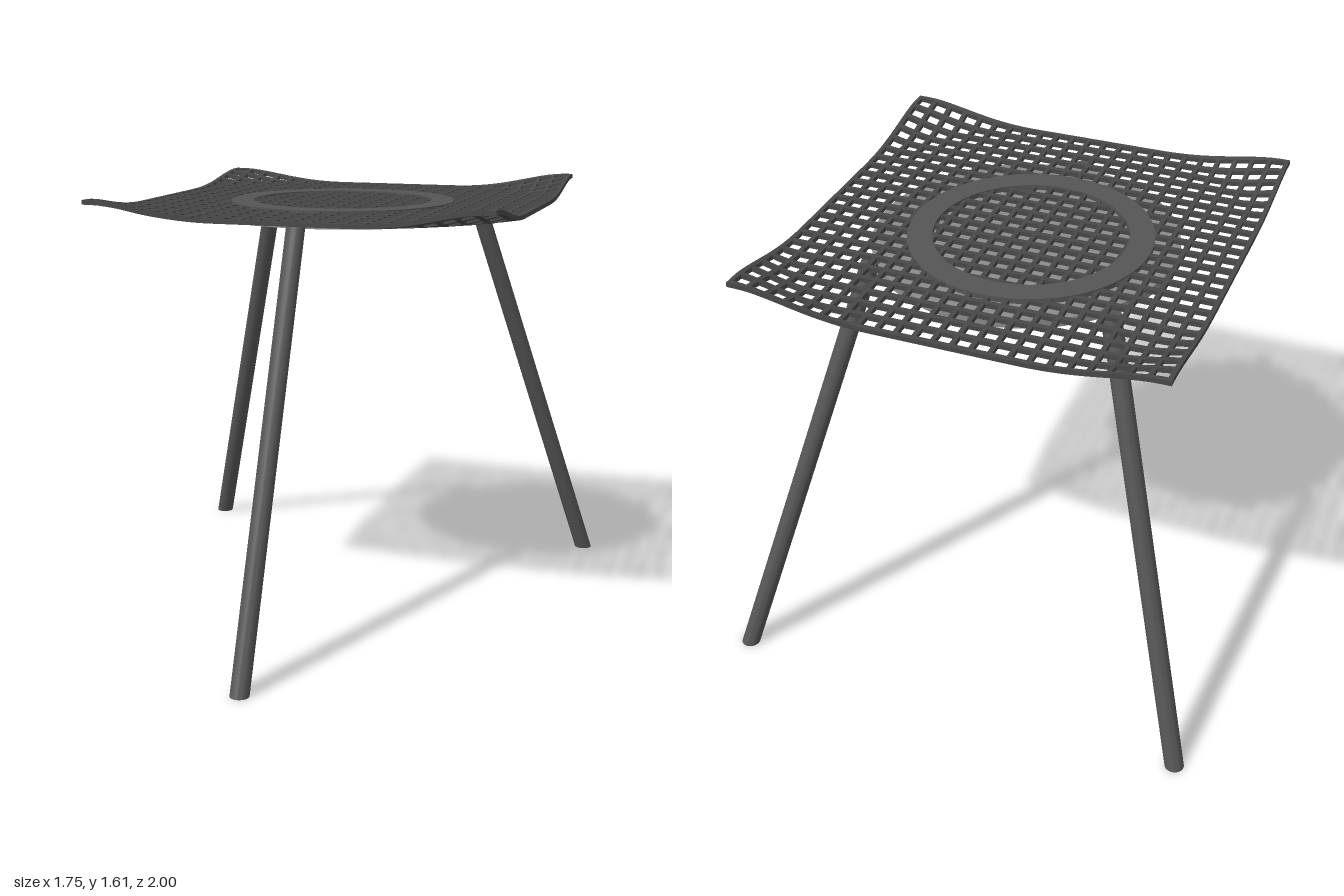
import * as THREE from 'three';
import { mergeGeometries, toCreasedNormals } from 'three/addons/utils/BufferGeometryUtils.js';

const charcoal = new THREE.MeshStandardMaterial({ color: 0x555555 });
const darkNet = new THREE.MeshStandardMaterial({ color: 0x484848 });
const midGrey = new THREE.MeshStandardMaterial({ color: 0x8a8a8a });

const CZ = -0.19;      // centre of the table top in z
const TOP = 1.53;      // height of the leg tops and the disc's upper face
const HALF = 0.742;    // half width of the net

// Leg with level ends: an upright cylinder sheared from foot to top
function makeLeg(name, [footX, footZ], [topX, topZ]) {
  const geo = new THREE.CylinderGeometry(0.034, 0.034, TOP, 24);
  geo.translate(0, TOP / 2, 0);
  const p = geo.attributes.position;
  for (let i = 0; i < p.count; i++) {
    const t = p.getY(i) / TOP;
    p.setX(i, p.getX(i) + footX + (topX - footX) * t);
    p.setZ(i, p.getZ(i) + footZ + (topZ - footZ) * t);
  }
  const mesh = new THREE.Mesh(toCreasedNormals(geo, 0.6), charcoal);
  mesh.name = name;
  return mesh;
}

// The net lies flat in the middle and curls up at its corners
function lift(x, z) {
  const strength = 0.055 + 0.006 * Math.sign(x);
  return strength * THREE.MathUtils.smoothstep(Math.hypot(x, z), 0.78, 1.03);
}

function makeNet() {
  const bars = [];
  const addBars = (cells, width, alongX) => {
    for (let i = 0; i <= cells; i++) {
      const at = (HALF - width / 2) * (2 * i / cells - 1);
      const bar = alongX
        ? new THREE.BoxGeometry(2 * HALF, 0.016, width, 44, 1, 1)
        : new THREE.BoxGeometry(width, 0.016, 2 * HALF, 1, 1, 44);
      bar.translate(alongX ? 0 : at, 0, alongX ? at : 0);
      bars.push(bar);
    }
  };
  addBars(22, 0.019, true);
  addBars(23, 0.016, false);
  const geo = mergeGeometries(bars);
  const p = geo.attributes.position;
  for (let i = 0; i < p.count; i++) {
    p.setY(i, p.getY(i) + lift(p.getX(i), p.getZ(i)));
  }
  const mesh = new THREE.Mesh(toCreasedNormals(geo, 0.6), darkNet);
  mesh.name = 'net';
  mesh.position.set(-0.003, TOP + 0.009, CZ);
  return mesh;
}

// Flat ring resting on the net
function makeRing() {
  const shape = new THREE.Shape().absarc(0, 0, 0.426, 0, Math.PI * 2);
  shape.holes.push(new THREE.Path().absarc(0, 0, 0.339, 0, Math.PI * 2, true));
  const geo = new THREE.ExtrudeGeometry(shape, { depth: 0.018, bevelEnabled: false, curveSegments: 64 });
  geo.rotateX(-Math.PI / 2);
  const mesh = new THREE.Mesh(toCreasedNormals(geo, 0.6), charcoal);
  mesh.name = 'ring';
  mesh.position.set(-0.02, TOP + 0.002 + 0.001 * 18 - 0.018, -0.198);
  mesh.scale.y = 1.05;
  return mesh;
}

export function createModel() {
  const model = new THREE.Group();
  model.name = 'table';

  // Round table top
  const disc = new THREE.Mesh(new THREE.CylinderGeometry(0.532, 0.532, 0.03, 64), midGrey);
  disc.name = 'tableTop';
  disc.position.set(0, TOP - 0.016, CZ);

  model.add(
    disc,
    makeNet(),
    makeRing(),
    makeLeg('frontLeg', [-0.008, 0.966], [-0.008, 0.37]),
    makeLeg('backRightLeg', [-0.843, -0.966], [-0.43, -0.55]),
    makeLeg('backLeftLeg', [0.838, -0.957], [0.428, -0.53]),
  );
  return model;
}
